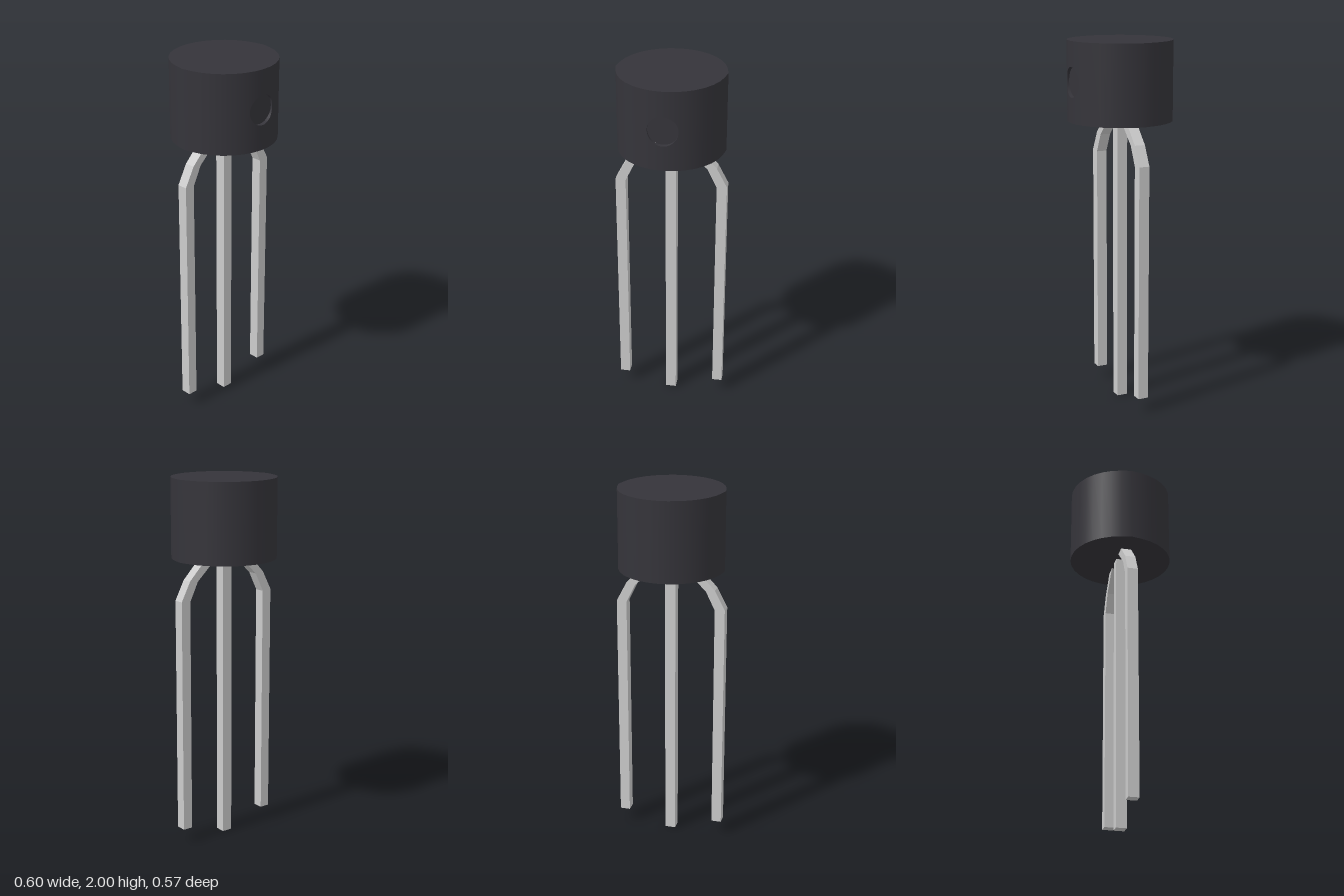
import * as THREE from 'three';

const SIDES = 32, R = 0.283, BOTTOM = 1.57, TOP = 2, MID = (BOTTOM + TOP) / 2;
const DIMPLE_R = 0.08, DIMPLE_Z = 0.26;

const dark = new THREE.MeshStandardMaterial({ color: 0x35343a });
const metal = new THREE.MeshStandardMaterial({ color: 0xcccccc, flatShading: true });

function add(parent, name, geometry, material) {
  const mesh = new THREE.Mesh(geometry, material);
  mesh.name = name;
  parent.add(mesh);
  return mesh;
}

// Body outline: 32 sides with a slight mould seam sticking out at both x ends
function outline(i) {
  const a = (i * 2 * Math.PI) / SIDES;
  const r = (((i % 16) + 16) % 16) === 8 ? 0.288 : R;
  return [r * Math.sin(a), r * Math.cos(a)];
}

// Depth of the faceted front wall at a given x
function frontZ(x) {
  const f = Math.asin(Math.abs(x) / R) / (2 * Math.PI / SIDES);
  const i = Math.floor(f + 1e-6);
  const [x0, z0] = outline(i), [x1, z1] = outline(i + 1);
  return z0 + (z1 - z0) * (Math.abs(x) - x0) / (x1 - x0);
}

// Surface through rows of points; radial gives smooth normals around the y axis
function loft(rows, radial) {
  const n = rows[0].length, index = [];
  for (let r = 0; r < rows.length - 1; r++) {
    for (let j = 0; j < n - 1; j++) {
      const a = r * n + j, b = a + n;
      index.push(a, b, b + 1, a, b + 1, a + 1);
    }
  }
  const points = rows.flat();
  const geo = new THREE.BufferGeometry();
  geo.setAttribute('position', new THREE.Float32BufferAttribute(points.flat(), 3));
  geo.setIndex(index);
  if (radial) {
    const normals = points.flatMap(([x, , z]) => [x / Math.hypot(x, z), 0, z / Math.hypot(x, z)]);
    geo.setAttribute('normal', new THREE.Float32BufferAttribute(normals, 3));
  } else {
    geo.computeVertexNormals();
  }
  return geo;
}

function createBody() {
  const body = new THREE.Group();
  body.name = 'body';

  // Wall, all but the four front facets that carry the dimple
  const upper = [], lower = [];
  for (let i = 2; i <= SIDES - 2; i++) {
    const [x, z] = outline(i);
    upper.push([x, TOP, z]);
    lower.push([x, BOTTOM, z]);
  }
  add(body, 'wall', loft([upper, lower], true), dark);

  // Front wall patch: rings running from the dimple rim out to a rectangle
  const w = outline(2)[0], h = TOP - MID, corner = Math.atan2(h, w);
  const angles = [corner, Math.PI - corner, Math.PI + corner, 2 * Math.PI - corner];
  for (let i = 0; i <= 48; i++) angles.push((i * Math.PI) / 24);
  angles.sort((a, b) => a - b);
  const rows = [0, 0.25, 0.5, 0.75, 1].map((t) => angles.map((a) => {
    const c = Math.cos(a), s = Math.sin(a);
    const edge = Math.min(w / Math.max(Math.abs(c), 1e-6), h / Math.max(Math.abs(s), 1e-6));
    const r = DIMPLE_R + (edge - DIMPLE_R) * t;
    return [r * c, MID + r * s, frontZ(r * c)];
  }));
  add(body, 'frontWall', loft(rows, true), dark);

  // Shallow round dimple
  const floorRing = rows[0].map(([x, y]) => [x, y, DIMPLE_Z]);
  add(body, 'dimpleWall', loft([floorRing, rows[0]], false), dark);
  add(body, 'dimpleFloor', new THREE.CircleGeometry(DIMPLE_R, 48), dark).position.set(0, MID, DIMPLE_Z);

  // Flat end caps
  for (const [name, y, sign] of [['topCap', TOP, -1], ['bottomCap', BOTTOM, 1]]) {
    const points = [];
    for (let i = 0; i < SIDES; i++) {
      const [x, z] = outline(i);
      points.push(new THREE.Vector2(x, sign * z));
    }
    const cap = new THREE.ShapeGeometry(new THREE.Shape(points));
    cap.rotateX((sign * Math.PI) / 2);
    add(body, name, cap, dark).position.y = y;
  }
  return body;
}

// Square-section leg cut from a side outline
function legGeometry(points) {
  const depth = 0.058;
  const shape = new THREE.Shape(points.map(([x, y]) => new THREE.Vector2(x, y)));
  const geo = new THREE.ExtrudeGeometry(shape, { depth, bevelEnabled: false });
  return geo.translate(0, 0, -depth / 2);
}

export function createModel() {
  const model = new THREE.Group();
  model.name = 'transistor';
  model.add(createBody());

  const half = 0.029;
  add(model, 'middleLeg', legGeometry([[-half, 0], [half, 0], [half, 1.59], [-half, 1.59]]), metal);

  // Outer legs bend in under the body
  const bent = [[0.245, 0.08], [0.3, 0.08], [0.3, 1.365], [0.245, 1.47],
    [0.13, 1.59], [0.06, 1.59], [0.195, 1.463], [0.245, 1.36]];
  for (const [name, side] of [['leftLeg', 1], ['rightLeg', -1]]) {
    add(model, name, legGeometry(bent.map(([x, y]) => [side * x, y])), metal);
  }
  return model;
}
